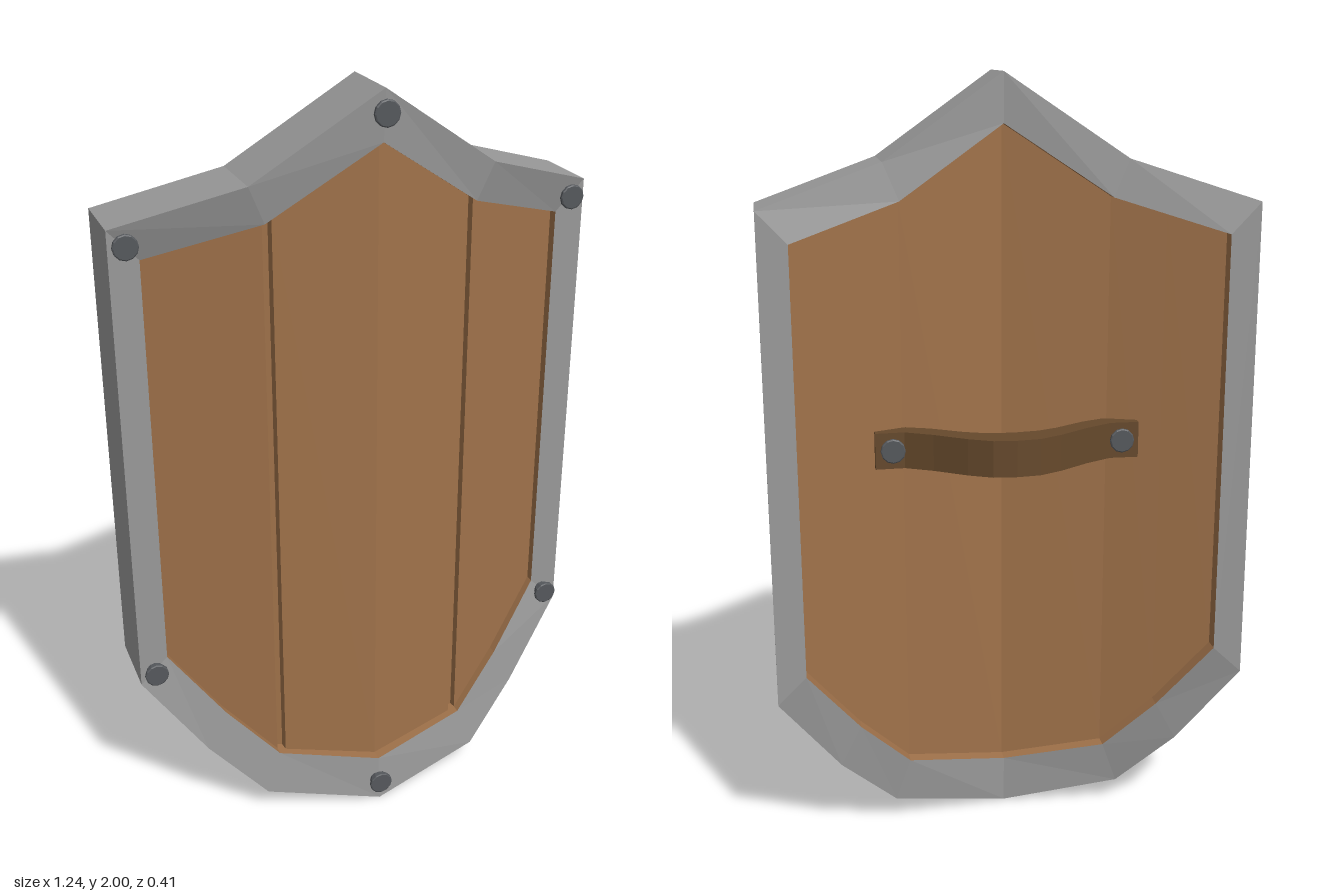
import * as THREE from 'three';

const mat = (color) => new THREE.MeshStandardMaterial({ color, flatShading: true });
const steel = mat(0x999999), wood = mat(0xa0724a), leather = mat(0x66492c), iron = mat(0x55585c);

// Half outlines from top to bottom: [x, y, front z, back z]
const OUTER = [[0, 2, 0.19, -0.005], [0.31, 1.79, 0.13, -0.065], [0.62, 1.69, 0.02, -0.173],
  [0.62, 0.43, 0.015, -0.183], [0.46, 0.215, 0.073, -0.125], [0.31, 0.065, 0.13, -0.063], [0, 0, 0.19, -0.003]];
const INNER = [[0, 1.875, 0.18, -0.005], [0.27, 1.695, 0.12, -0.066], [0.545, 1.61, 0.017, -0.17],
  [0.545, 0.5, 0.013, -0.176], [0.405, 0.32, 0.07, -0.12], [0.27, 0.18, 0.12, -0.066], [0, 0.13, 0.18, -0.005]];

// Mirror a half outline into a closed loop, taking z from the given column
function loop(half, zColumn) {
  const right = half.map((p) => new THREE.Vector3(p[0], p[1], p[zColumn]));
  const left = right.slice(1, -1).reverse().map((v) => new THREE.Vector3(-v.x, v.y, v.z));
  return [...right, ...left, right[0]];
}

// Quads between pairs of rows of equal length
function strips(pairs) {
  const pos = [];
  for (const [a, b] of pairs) {
    for (let i = 0; i < a.length - 1; i++) {
      for (const v of [a[i], b[i], b[i + 1], a[i], b[i + 1], a[i + 1]]) pos.push(v.x, v.y, v.z);
    }
  }
  const geo = new THREE.BufferGeometry();
  geo.setAttribute('position', new THREE.Float32BufferAttribute(pos, 3));
  geo.computeVertexNormals();
  return geo;
}

// Height of the opening's edge at x, along part of the half outline
function edgeY(points, x) {
  for (let i = 0; i < points.length - 1; i++) {
    const [a, b] = [points[i], points[i + 1]];
    if (x <= b[0] + 1e-6) return a[1] + (b[1] - a[1]) * (x - a[0]) / (b[0] - a[0]);
  }
  return points[points.length - 1][1];
}

// Sheet of vertical planks filling the opening; profile is [x, z] from the middle outwards
function sheet(profile, facesFront) {
  const upper = INNER.slice(0, 3), lower = INNER.slice(3).reverse();
  const full = [...profile.slice(1).reverse().map(([x, z]) => [-x, z]), ...profile];
  if (!facesFront) full.reverse();
  const row = (edge) => full.map(([x, z]) => new THREE.Vector3(x, edgeY(edge, Math.abs(x)), z));
  return [row(upper), row(lower)];
}

function addMesh(group, name, geo, material) {
  const mesh = new THREE.Mesh(geo, material);
  mesh.name = name;
  group.add(mesh);
  return mesh;
}

// Rivet with a stem and a wider head; z is the face of the head
function addRivet(group, name, x, y, z, dir) {
  const profile = [[0.025, -0.04], [0.025, -0.01], [0.032, -0.009], [0.032, -0.002], [0.029, 0], [0, 0]];
  const geo = new THREE.LatheGeometry(profile.map(([r, h]) => new THREE.Vector2(r, h)), 12);
  geo.rotateX(dir * Math.PI / 2);
  addMesh(group, name, geo, iron).position.set(x, y, z);
}

export function createModel() {
  const shield = new THREE.Group();
  shield.name = 'shield';

  // Metal rim: front, back and outer side
  const outerFront = loop(OUTER, 2), outerBack = loop(OUTER, 3);
  const innerFront = loop(INNER, 2), innerBack = loop(INNER, 3);
  addMesh(shield, 'rim', strips([[outerFront, innerFront], [innerBack, outerBack], [outerBack, outerFront]]), steel);

  // Wooden board: walls of the opening, grooved front, plain back
  const front = [[0, 0.15], [0.248, 0.102], [0.251, 0.08], [0.267, 0.077], [0.27, 0.096], [0.405, 0.044], [0.545, -0.01]];
  const back = [[0, 0.03], [0.27, -0.03], [0.405, -0.082], [0.545, -0.135]];
  addMesh(shield, 'board', strips([[innerFront, innerBack], sheet(front, true), sheet(back, false)]), wood);

  // Arched leather grip across the back
  const arch = [[0.345, 0.08], [0.27, 0.078], [0.2, 0.115], [0.12, 0.17], [0.06, 0.2], [0, 0.206]];
  const under = [[0, 0.128], [0.07, 0.12], [0.12, 0.1], [0.2, 0.052], [0.27, 0.025], [0.345, 0.045]];
  const mirror = (pts) => pts.map(([x, d]) => [-x, d]).reverse();
  const section = [...arch, ...mirror(arch).slice(1), ...mirror(under), ...under.slice(1)];
  const grip = new THREE.ExtrudeGeometry(new THREE.Shape(section.map(([x, d]) => new THREE.Vector2(x, d))),
    { depth: 0.095, bevelEnabled: false });
  grip.rotateX(-Math.PI / 2);
  addMesh(shield, 'grip', grip, leather).position.y = 1.02;

  // Rivets on the rim and on the ends of the grip
  for (const y of [1.945, 0.06]) addRivet(shield, 'rimRivet', 0, y, 0.205, 1);
  for (const side of [-1, 1]) {
    for (const y of [1.65, 0.465]) addRivet(shield, 'rimRivet', side * 0.58, y, 0.04, 1);
    addRivet(shield, 'gripRivet', side * 0.3, 1.068, -0.09, -1);
  }
  return shield;
}
